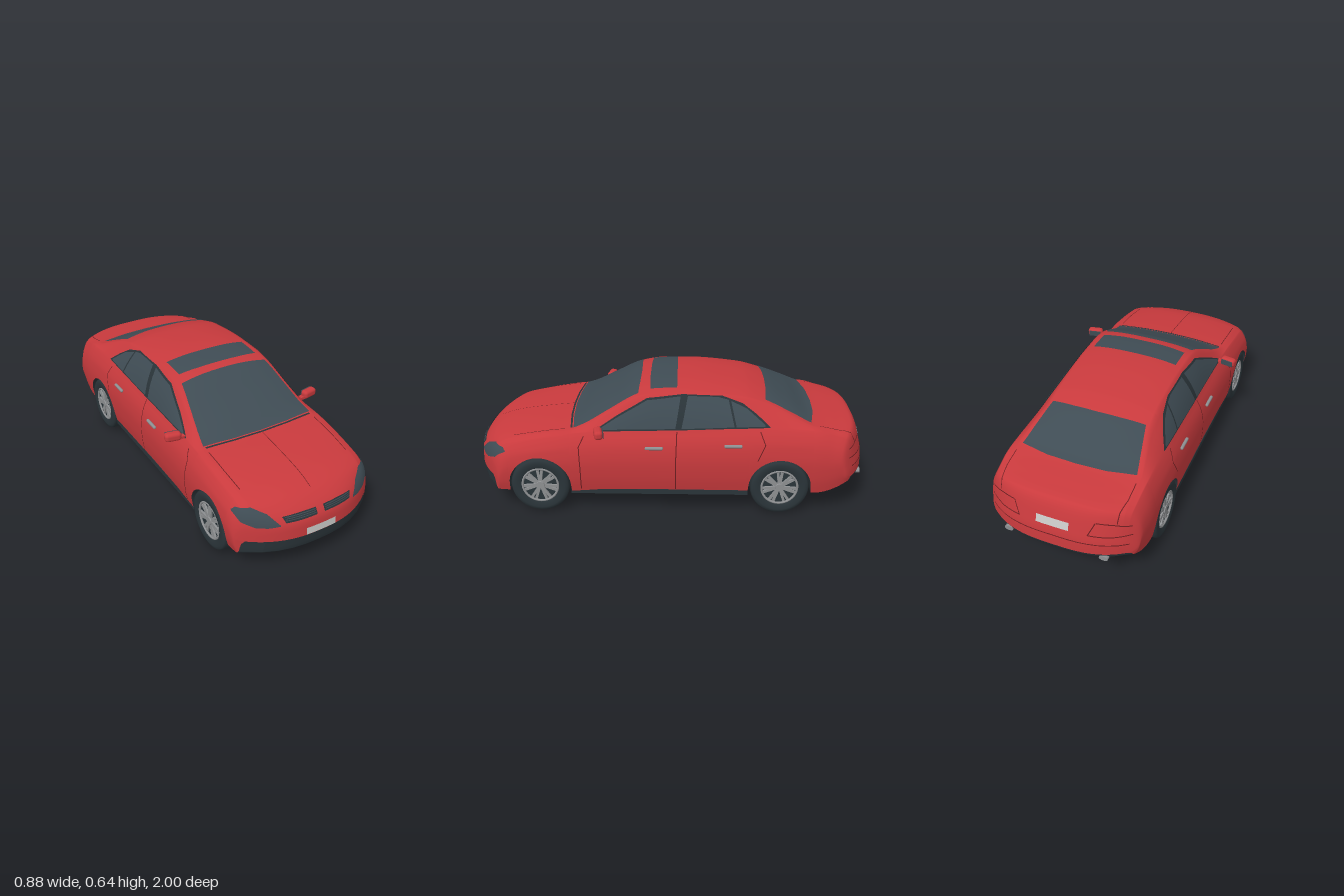
import * as THREE from 'three';
import { RoundedBoxGeometry } from 'three/addons/geometries/RoundedBoxGeometry.js';

const mat = (name, color) => new THREE.MeshStandardMaterial({ name, color, side: THREE.DoubleSide });
const FRONT = 0.65, REAR = -0.553, ARCH = 0.156, HUB = 0.147;

// Body stations: z, half width, shoulder y, roof edge y, roof edge x, centre y
const STATIONS = [
  [-1, .35, .2, .2, .29, .2], [-.997, .365, .235, .245, .3, .255], [-.985, .375, .28, .29, .305, .31],
  [-.955, .38, .37, .385, .31, .405], [-.935, .382, .395, .41, .31, .43], [-.85, .386, .42, .43, .312, .445],
  [-.72, .39, .445, .455, .31, .465], [-.6, .39, .45, .505, .29, .527], [-.48, .39, .452, .555, .265, .583],
  [-.35, .388, .45, .59, .26, .615], [-.1, .386, .443, .61, .262, .635], [.05, .385, .438, .607, .264, .63],
  [.15, .386, .434, .59, .266, .615], [.3, .388, .43, .515, .288, .54], [.42, .39, .424, .45, .308, .475],
  [.49, .391, .42, .428, .315, .437], [.6, .392, .405, .415, .315, .425], [.8, .388, .365, .378, .31, .397],
  [.9, .385, .335, .35, .31, .365], [.95, .382, .305, .318, .31, .33], [.985, .378, .265, .275, .3, .285],
  [.997, .37, .22, .23, .29, .25], [1, .355, .19, .19, .28, .19]];
const BOTTOM = [[-1, .2], [-.99, .178], [-.7, .115], [.97, .115], [.99, .125], [1, .19]];
const FLANK = [[0, .955], [.25, .99], [.5, 1], [.75, .975], [.9, .93], [1, .885]];

// Smooth monotone curve through the rows of a table
function curve(k, t, c = 1) {
  const n = k.length - 1;
  let i = 0;
  while (i < n - 1 && t > k[i + 1][0]) i++;
  const slope = (j) => (k[j + 1][c] - k[j][c]) / (k[j + 1][0] - k[j][0]);
  const tangent = (j) => {
    if (j === 0) return slope(0);
    if (j === n) return slope(n - 1);
    const a = slope(j - 1), b = slope(j);
    return a * b <= 0 ? 0 : 2 * a * b / (a + b);
  };
  const h = k[i + 1][0] - k[i][0], u = THREE.MathUtils.clamp((t - k[i][0]) / h, 0, 1);
  return k[i][c] * (1 + 2 * u) * (1 - u) ** 2 + tangent(i) * h * u * (1 - u) ** 2
    + k[i + 1][c] * u * u * (3 - 2 * u) - tangent(i + 1) * h * u * u * (1 - u);
}

// Rounds the nose and tail in plan
function bend(x, y, z) {
  const r = Math.abs(x) / .38;
  if (z > .8) z -= .14 * ((z - .8) / .2) ** 1.15 * r ** 2.5;
  if (z < -.74) z += .12 * ((-.74 - z) / .26) ** 1.2 * r ** 3;
  return new THREE.Vector3(x, y, z);
}

// Lower edge of the body side, raised over the wheels
function lowerEdge(z) {
  const base = curve(BOTTOM, z);
  const d = Math.min(Math.abs(z - FRONT), Math.abs(z - REAR));
  return d <= ARCH ? Math.max(base, HUB + Math.sqrt(ARCH * ARCH - d * d)) : base;
}

function halfSections(z) {
  const [w, yS, yR, wR, yC] = [1, 2, 3, 4, 5].map((c) => curve(STATIONS, z, c));
  const base = curve(BOTTOM, z), yB = lowerEdge(z);
  const flank = (y) => w * curve(FLANK, (y - base) / Math.max(yS - base, 1e-4));
  const shell = [], under = [];
  for (let i = 0; i <= 12; i++) {
    const y = yB + (yS - yB) * i / 12;
    shell.push([flank(y), y]);
  }
  const wS = w * .885, bulge = .05 * (yR - yS);
  for (let i = 1; i <= 7; i++) {
    const t = i / 7;
    shell.push([wS + (wR - wS) * t + bulge * Math.sin(Math.PI * t), yS + (yR - yS) * t]);
  }
  for (let i = 1; i <= 11; i++) {
    const t = 1 - (i / 11) ** 1.3;
    shell.push([wR * t, yC - (yC - yR) * t ** 2.6]);
  }
  const xB = flank(yB), xI = Math.min(.27, xB * .75);
  under.push([xB, yB], [xI, yB]);
  for (const f of [1, .75, .5, .25, 0]) under.push([xI * f, base]);
  return { shell, under };
}

function loft(rows) {
  const n = rows[0].length, index = [];
  for (let i = 0; i < rows.length - 1; i++) for (let j = 0; j < n - 1; j++) {
    const a = i * n + j, b = a + n;
    index.push(a, b, a + 1, b, b + 1, a + 1);
  }
  const g = new THREE.BufferGeometry().setFromPoints(rows.flat());
  g.setIndex(index);
  g.computeVertexNormals();
  return g;
}

const fullRow = (half, z) => [...half, ...half.slice(0, -1).reverse().map(([x, y]) => [-x, y])].map(([x, y]) => bend(x, y, z));

export function createModel() {
  const car = new THREE.Group();
  car.name = 'car';
  const paint = mat('red paint', 0xc93a3d), glass = mat('tinted glass', 0x3f4c54), dark = mat('dark trim', 0x2a3439);
  const seamRed = mat('seam dark red', 0x6e1e21), silver = mat('plate silver', 0xcacac8), alloy = mat('alloy grey', 0x8e9092);
  const add = (name, geo, m, x = 0, y = 0, z = 0, parent = car) => {
    const mesh = new THREE.Mesh(geo, m);
    mesh.name = name;
    mesh.position.set(x, y, z);
    parent.add(mesh);
    return mesh;
  };

  // Body shell and underside with wheel wells
  let zs = [];
  for (let i = 0; i <= 96; i++) zs.push(Math.sin(Math.PI * (i / 96 - .5)));
  for (const c of [FRONT, REAR]) {
    zs = zs.filter((z) => Math.abs(z - c) > ARCH + .006);
    for (let i = 0; i <= 18; i++) zs.push(c + ARCH * Math.cos(Math.PI * i / 18) * .99999);
    zs.push(c - ARCH - .002, c + ARCH + .002);
  }
  zs.sort((a, b) => a - b);
  const body = add('bodyShell', loft(zs.map((z) => fullRow(halfSections(z).shell, z))), paint);
  add('underbody', loft(zs.map((z) => fullRow(halfSections(z).under, z))), dark);

  // Thin panels laid onto the body between two edge lines
  const ray = new THREE.Raycaster();
  const views = {
    side: [new THREE.Vector3(-1, 0, 0), (a, b) => [2, b, a]],
    top: [new THREE.Vector3(0, -1, 0), (a, b) => [a, 2, b]],
    front: [new THREE.Vector3(0, 0, -1), (a, b) => [a, b, 2]],
    rear: [new THREE.Vector3(0, 0, 1), (a, b) => [a, b, -2]],
  };
  function panel(name, m, view, lower, upper, { mirror = false, nv = 6, lift = .004 } = {}) {
    const [dir, place] = views[view], nu = (lower.length - 1) * 4, rows = [];
    const at = (line, u) => {
      const i = Math.min(Math.floor(u), line.length - 2), f = u - i;
      return [0, 1].map((c) => line[i][c] * (1 - f) + line[i + 1][c] * f);
    };
    let last = null;
    for (let i = 0; i <= nu; i++) {
      const p = at(lower, i / 4), q = at(upper, i / 4), row = [];
      for (let j = 0; j <= nv; j++) {
        const t = j / nv;
        ray.set(new THREE.Vector3(...place(p[0] + (q[0] - p[0]) * t, p[1] + (q[1] - p[1]) * t)), dir);
        const hit = ray.intersectObject(body)[0];
        if (hit) {
          const n = hit.face.normal.clone();
          if (n.dot(dir) > 0) n.negate();
          last = hit.point.clone().addScaledVector(n, lift);
        }
        row.push((last || new THREE.Vector3(...place(...p)).setZ(.8)).clone());
      }
      rows.push(row);
    }
    const geo = loft(rows);
    add(name, geo, m);
    if (mirror) {
      const other = geo.clone().scale(-1, 1, 1);
      other.computeVertexNormals();
      add(name + 'Right', other, m);
    }
  }
  function line(name, m, view, pts, mirror = true, w = .005) {
    const a = pts[0], b = pts[pts.length - 1], l = Math.hypot(b[0] - a[0], b[1] - a[1]);
    const ox = -(b[1] - a[1]) / l * w, oy = (b[0] - a[0]) / l * w;
    panel(name, m, view, pts, pts.map(([x, y]) => [x + ox, y + oy]), { mirror, nv: 1, lift: .003 });
  }

  // Glass
  panel('windshield', glass, 'top', [[-.307, .475], [-.15, .492], [0, .498], [.15, .492], [.307, .475]],
    [[-.243, .155], [-.12, .15], [0, .148], [.12, .15], [.243, .155]], { nv: 12 });
  panel('rearWindow', glass, 'top', [[-.29, -.7], [-.15, -.728], [0, -.735], [.15, -.728], [.29, -.7]],
    [[-.24, -.472], [-.12, -.483], [0, -.486], [.12, -.483], [.24, -.472]], { nv: 12 });
  panel('sunroof', glass, 'top', [[-.225, .095], [-.11, .1], [0, .1], [.11, .1], [.225, .095]],
    [[-.225, -.037], [-.11, -.037], [0, -.037], [.11, -.037], [.225, -.037]]);
  panel('windowFrame', dark, 'side', [[.37, .43], [.25, .434], [.11, .437], [-.065, .442], [-.26, .45], [-.36, .453], [-.43, .456], [-.495, .458]],
    [[.37, .434], [.25, .508], [.11, .584], [-.065, .603], [-.26, .595], [-.36, .562], [-.43, .515], [-.495, .461]], { mirror: true, lift: .003 });
  panel('frontDoorGlass', glass, 'side', [[.34, .438], [.25, .441], [.11, .444], [-.03, .448]],
    [[.34, .445], [.25, .498], [.11, .574], [-.055, .593]], { mirror: true, lift: .006 });
  panel('rearDoorGlass', glass, 'side', [[-.06, .449], [-.16, .452], [-.25, .456], [-.32, .459]],
    [[-.09, .594], [-.17, .593], [-.24, .589], [-.29, .577]], { mirror: true, lift: .006 });
  panel('quarterGlass', glass, 'side', [[-.33, .459], [-.4, .461], [-.47, .463]],
    [[-.302, .572], [-.38, .54], [-.47, .47]], { mirror: true, lift: .006 });

  // Lamps, grille and number plates
  panel('headlight', glass, 'front', [[.364, .322], [.35, .29], [.3, .268], [.25, .264], [.2, .268]],
    [[.364, .328], [.35, .343], [.3, .348], [.245, .322], [.2, .273]], { mirror: true });
  panel('grille', dark, 'front', [[.02, .28], [.1, .279], [.175, .279]], [[.02, .308], [.1, .309], [.187, .306]], { mirror: true });
  for (const y of [.287, .294, .301]) panel('grilleSlat', glass, 'front', [[.026, y], [.1, y], [.175, y]],
    [[.026, y + .003], [.1, y + .003], [.175, y + .003]], { mirror: true, nv: 1, lift: .007 });
  panel('frontPlate', silver, 'front', [[-.08, .195], [0, .195], [.08, .195]], [[-.08, .232], [0, .232], [.08, .232]]);
  panel('rearPlate', silver, 'rear', [[-.08, .305], [0, .305], [.08, .305]], [[-.08, .345], [0, .345], [.08, .345]]);
  line('tailLightLower', seamRed, 'rear', [[.17, .3], [.26, .295], [.35, .3]]);
  line('tailLightUpper', seamRed, 'rear', [[.2, .365], [.27, .36], [.345, .345]]);
  line('tailLightInner', seamRed, 'rear', [[.17, .3], [.2, .365]]);
  line('rearBumperSeam', seamRed, 'rear', [[-.34, .25], [-.17, .255], [0, .257], [.17, .255], [.34, .25]], false);
  line('bumperGroove', seamRed, 'front', [[-.34, .185], [-.17, .183], [0, .182], [.17, .183], [.34, .185]], false);
  line('bumperSlot', seamRed, 'front', [[-.16, .166], [0, .164], [.16, .166]], false, .01);

  // Panel gaps, wipers and cowl
  line('frontDoorGap', seamRed, 'side', [[.42, .41], [.445, .36], [.44, .25], [.44, .13]]);
  line('middleDoorGap', seamRed, 'side', [[-.04, .435], [-.035, .3], [-.035, .13]]);
  line('rearDoorGap', seamRed, 'side', [[-.45, .44], [-.475, .38], [-.44, .3]]);
  line('hoodCrease', seamRed, 'top', [[0, .51], [0, .7], [0, .9]], false, .003);
  line('hoodGap', seamRed, 'top', [[.305, .52], [.305, .65], [.3, .78]], true, .004);
  line('trunkGap', seamRed, 'top', [[.3, -.74], [.3, -.83], [.285, -.92]], true, .004);
  line('cowl', dark, 'top', [[-.3, .482], [-.15, .498], [0, .503], [.15, .498], [.3, .482]], false, .01);
  line('leftWiper', dark, 'top', [[.27, .46], [.14, .466], [0, .475]], false, .007);
  line('rightWiper', dark, 'top', [[-.02, .46], [-.14, .466], [-.27, .468]], false, .007);

  // Wheels
  const tyre = new THREE.LatheGeometry([[.092, -.045], [.125, -.051], [.14, -.047], [.147, -.036], [.147, .036],
    [.14, .047], [.125, .051], [.098, .048], [.092, .04]].map(([r, y]) => new THREE.Vector2(r, y)), 40).rotateZ(-Math.PI / 2);
  const disc = new THREE.CylinderGeometry(.093, .093, .066, 32).rotateZ(-Math.PI / 2);
  const lip = new THREE.TorusGeometry(.09, .006, 8, 36).rotateY(Math.PI / 2);
  const hub = new THREE.CylinderGeometry(.02, .024, .016, 20).rotateZ(-Math.PI / 2);
  for (const s of [1, -1]) for (const z of [FRONT, REAR]) {
    const wheel = new THREE.Group();
    wheel.name = (z > 0 ? 'front' : 'rear') + (s > 0 ? 'Left' : 'Right') + 'Wheel';
    wheel.position.set(s * .334, HUB, z);
    if (s < 0) wheel.rotation.y = Math.PI;
    add('tyre', tyre, dark, 0, 0, 0, wheel);
    add('rimDisc', disc, dark, 0, 0, 0, wheel);
    add('rimLip', lip, alloy, .042, 0, 0, wheel);
    add('hub', hub, alloy, .04, 0, 0, wheel);
    for (let i = 0; i < 7; i++) for (const d of [-.13, .13]) {
      const spoke = new THREE.BoxGeometry(.012, .076, .013).translate(0, .052, 0).rotateX(i * Math.PI * 2 / 7 + d);
      add('spoke', spoke, alloy, .037, 0, 0, wheel);
    }
    car.add(wheel);
  }

  // Mirrors, handles, sills, rails and exhaust tips
  for (const s of [1, -1]) {
    add('mirrorHousing', new RoundedBoxGeometry(.082, .044, .042, 4, .016), paint, s * .399, .449, .345).rotation.y = s * .2;
    add('mirrorStalk', new THREE.BoxGeometry(.04, .014, .025), paint, s * .36, .436, .35);
    add('mirrorGlass', new RoundedBoxGeometry(.066, .032, .004, 2, .002), glass, s * .395, .449, .323).rotation.y = s * .2;
    for (const [y, z] of [[.36, .075], [.375, -.315]])
      add('doorHandle', new RoundedBoxGeometry(.016, .016, .09, 3, .007), alloy, s * .381, y, z);
    add('sill', new THREE.BoxGeometry(.06, .026, .89), dark, s * .343, .112, .05);
    add('floorRail', new THREE.BoxGeometry(.045, .024, 1.2), dark, s * .248, .105, .08);
    add('exhaustTip', new THREE.CylinderGeometry(.013, .013, .06, 16).rotateX(Math.PI / 2).scale(1.7, 1, 1), alloy, s * .24, .18, -.945);
  }

  // Chassis parts
  add('floorTunnel', new THREE.BoxGeometry(.16, .022, 1.25), dark, 0, .108, .12);
  add('spareWheelWell', new THREE.CylinderGeometry(.16, .145, .05, 28), dark, 0, .15, -.78);
  add('muffler', new RoundedBoxGeometry(.2, .04, .09, 3, .018), dark, .08, .118, -.42);
  for (const z of [FRONT, REAR]) add('axle', new THREE.CylinderGeometry(.014, .014, .6, 12).rotateZ(Math.PI / 2), dark, 0, .125, z);
  return car;
}
